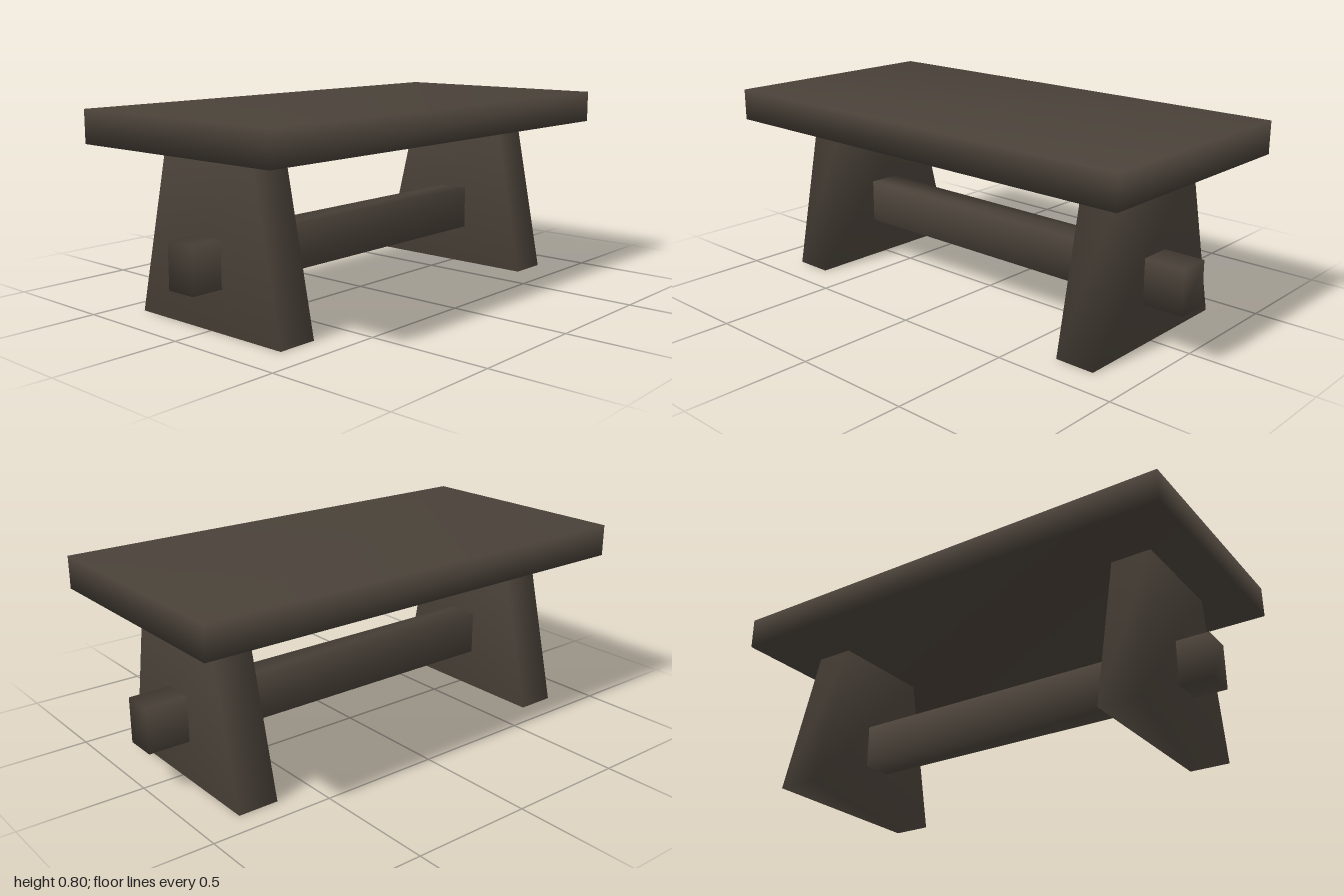
import * as THREE from 'three';
import { mergeVertices } from 'three/addons/utils/BufferGeometryUtils.js';

const darkWood = new THREE.MeshStandardMaterial({ color: 0x4a4239 });
darkWood.name = 'darkWood';

// Beam between two x and y limits; its z limits may differ at bottom and top.
// Corners are shared so the shading rolls softly over the edges.
function beam(name, [x0, x1], [y0, y1], bottomZ, topZ = bottomZ) {
  const box = new THREE.BoxGeometry(1, 1, 1);
  box.deleteAttribute('normal');
  box.deleteAttribute('uv');
  const geometry = mergeVertices(box);
  geometry.clearGroups();
  const p = geometry.attributes.position;
  for (let i = 0; i < p.count; i++) {
    const z = p.getY(i) > 0 ? topZ : bottomZ;
    p.setXYZ(
      i,
      p.getX(i) > 0 ? x1 : x0,
      p.getY(i) > 0 ? y1 : y0,
      p.getZ(i) > 0 ? z[1] : z[0]
    );
  }
  geometry.computeVertexNormals();
  const mesh = new THREE.Mesh(geometry, darkWood);
  mesh.name = name;
  return mesh;
}

export function createModel() {
  const table = new THREE.Group();
  table.name = 'trestleTable';

  // Thick plank top
  table.add(beam('tableTop', [-1, 1], [0.667, 0.8], [-0.5, 0.5]));

  // Tapered slab legs, splayed a little further at the back
  const legs = { rightLeg: [-0.833, -0.667], leftLeg: [0.663, 0.83] };
  for (const [name, x] of Object.entries(legs)) {
    table.add(beam(name, x, [0, 0.667], [-0.398, 0.367], [-0.233, 0.233]));
  }

  // Stretcher passing through both legs
  table.add(beam('stretcher', [-0.967, 1], [0.168, 0.352], [-0.066, 0.066]));

  return table;
}
